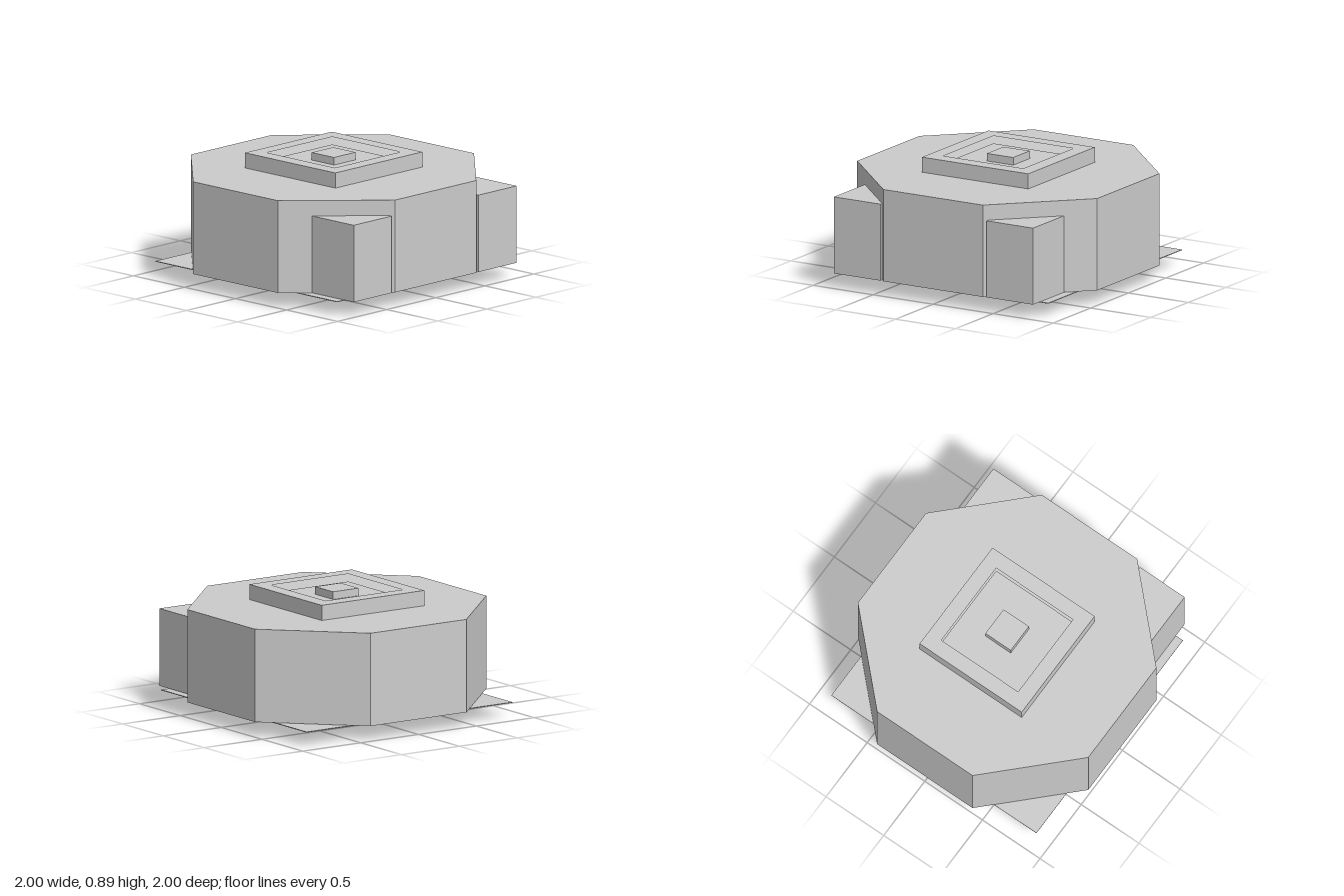
import * as THREE from 'three';

const material = new THREE.MeshStandardMaterial({ color: 0xcccccc, flatShading: true });

const square = (h) => [[-h, -h], [h, -h], [h, h], [-h, h]];

// Vertical prism from an [x, z] outline, between two heights, with an optional hole
function prism(name, outline, y0, y1, hole) {
  const toPoints = (list) => list.map(([x, z]) => new THREE.Vector2(x, -z));
  const shape = new THREE.Shape(toPoints(outline));
  if (hole) shape.holes.push(new THREE.Path(toPoints(hole)));
  const geometry = new THREE.ExtrudeGeometry(shape, { depth: y1 - y0, bevelEnabled: false });
  geometry.rotateX(-Math.PI / 2).translate(0, y0, 0);
  const mesh = new THREE.Mesh(geometry, material);
  mesh.name = name;
  return mesh;
}

// Square frame with a half-deep recess and a small block flush with its rim
function recessedSocket(name, outer, inner, y0, y1, floor0, floor1) {
  const group = new THREE.Group();
  group.name = name;
  group.add(
    prism(name + 'Frame', square(outer), y0, y1, square(inner)),
    prism(name + 'Floor', square(inner), floor0, floor1),
    prism(name + 'CentreBlock', square(0.11), y0, y1),
  );
  return group;
}

export function createModel() {
  const model = new THREE.Group();
  model.name = 'octagonalBlock';

  // Octagonal body
  const c = Math.SQRT2 - 1;
  const octagon = [[c, 1], [1, c], [1, -c], [c, -1], [-c, -1], [-1, -c], [-1, c], [-c, 1]];
  model.add(prism('body', octagon, 0.11, 0.78));

  // Thin square plate under the body
  model.add(prism('basePlate', square(0.89), 0.102, 0.107));

  // Sockets on the top and the underside
  model.add(recessedSocket('topSocket', 0.443, 0.333, 0.78, 0.89, 0.78, 0.835));
  model.add(recessedSocket('bottomSocket', 0.333, 0.22, 0, 0.105, 0.055, 0.105));

  // Wedge blocks filling the two front corners
  for (const [side, s] of [['left', 1], ['right', -1]]) {
    const wedge = [[0.443, 0.995], [0.83, 0.995], [0.83, 0.57], [0.443, 0.96]];
    model.add(prism(side + 'CornerBlock', wedge.map(([x, z]) => [s * x, z]), 0.11, 0.668));
  }
  return model;
}
